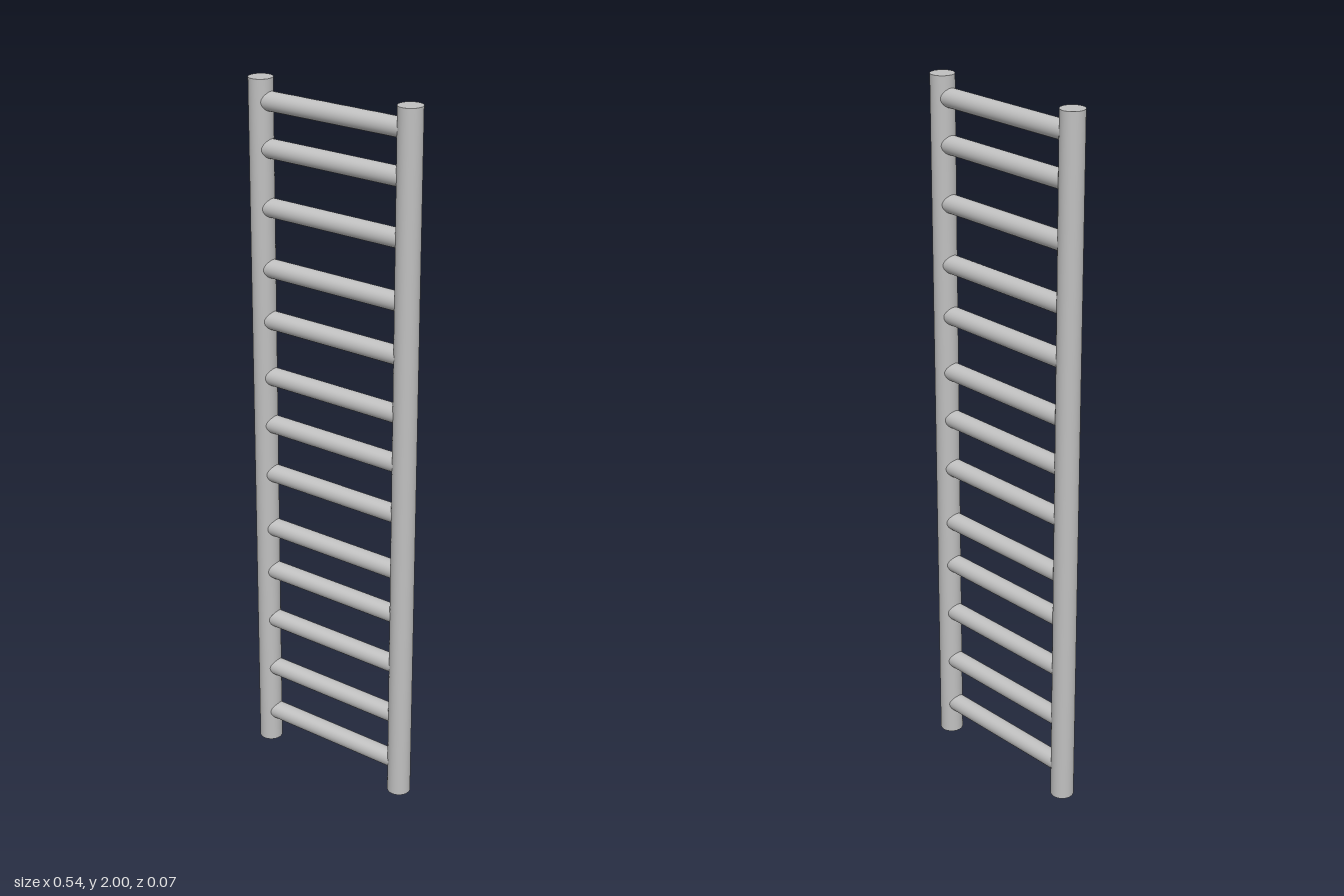
import * as THREE from 'three';

export function createModel() {
  const group = new THREE.Group();
  group.name = 'ladder';
  const grey = new THREE.MeshStandardMaterial({ color: 0xc0c0c0 });
  grey.name = 'light grey';

  const railX = 0.235;

  // Two upright rails
  const railGeometry = new THREE.CylinderGeometry(0.033, 0.033, 2, 48);
  for (const [name, side] of [['leftRail', 1], ['rightRail', -1]]) {
    const rail = new THREE.Mesh(railGeometry, grey);
    rail.name = name;
    rail.position.set(side * railX, 1, 0);
    group.add(rail);
  }

  // Unevenly spaced round rungs, ending inside the rails
  const rungGeometry = new THREE.CylinderGeometry(0.026, 0.026, railX * 2, 40);
  rungGeometry.rotateZ(Math.PI / 2);
  const heights = [0.095, 0.246, 0.41, 0.57, 0.708, 0.879, 1.03, 1.173, 1.338, 1.486, 1.655, 1.815, 1.94];
  heights.forEach((y, i) => {
    const rung = new THREE.Mesh(rungGeometry, grey);
    rung.name = `rung${i + 1}`;
    rung.position.y = y;
    group.add(rung);
  });

  return group;
}
